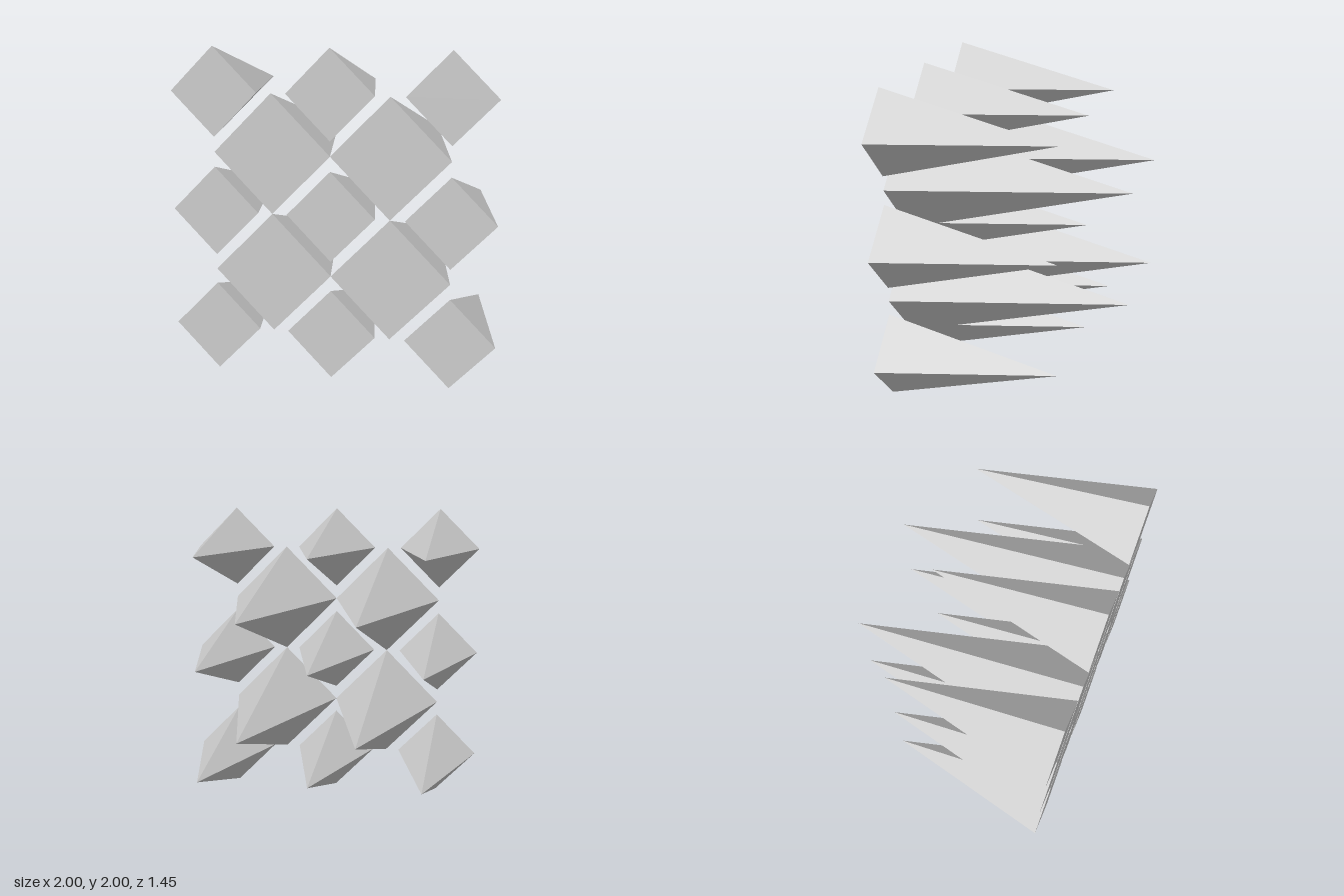
import * as THREE from 'three';

const UNIT = 1 / 11; // the whole layout sits on an 11-step half-width
const BASE_Z = 8 * UNIT; // shared plane of all spike bases

export function createModel() {
  const model = new THREE.Group();
  model.name = 'spikeArray';
  const material = new THREE.MeshStandardMaterial({ color: 0xcccccc, flatShading: true });

  // Grid of four-sided spikes: diamond base facing +z, tip pointing to -z
  function addSpikes(name, offsets, radius) {
    const height = radius * 4;
    const geometry = new THREE.ConeGeometry(radius, height, 4, 1)
      .rotateX(-Math.PI / 2)
      .translate(0, 0, BASE_Z - height / 2);
    const group = new THREE.Group();
    group.name = name + 's';
    for (const y of offsets) {
      for (const x of offsets) {
        const spike = new THREE.Mesh(geometry, material);
        spike.name = name;
        spike.position.set(x * UNIT, 1 + y * UNIT, 0);
        group.add(spike);
      }
    }
    model.add(group);
  }

  // 3 x 3 small spikes with 2 x 2 large spikes between them
  addSpikes('smallSpike', [-8, 0, 8], 3 * UNIT);
  addSpikes('largeSpike', [-4, 4], 4 * UNIT);

  return model;
}
